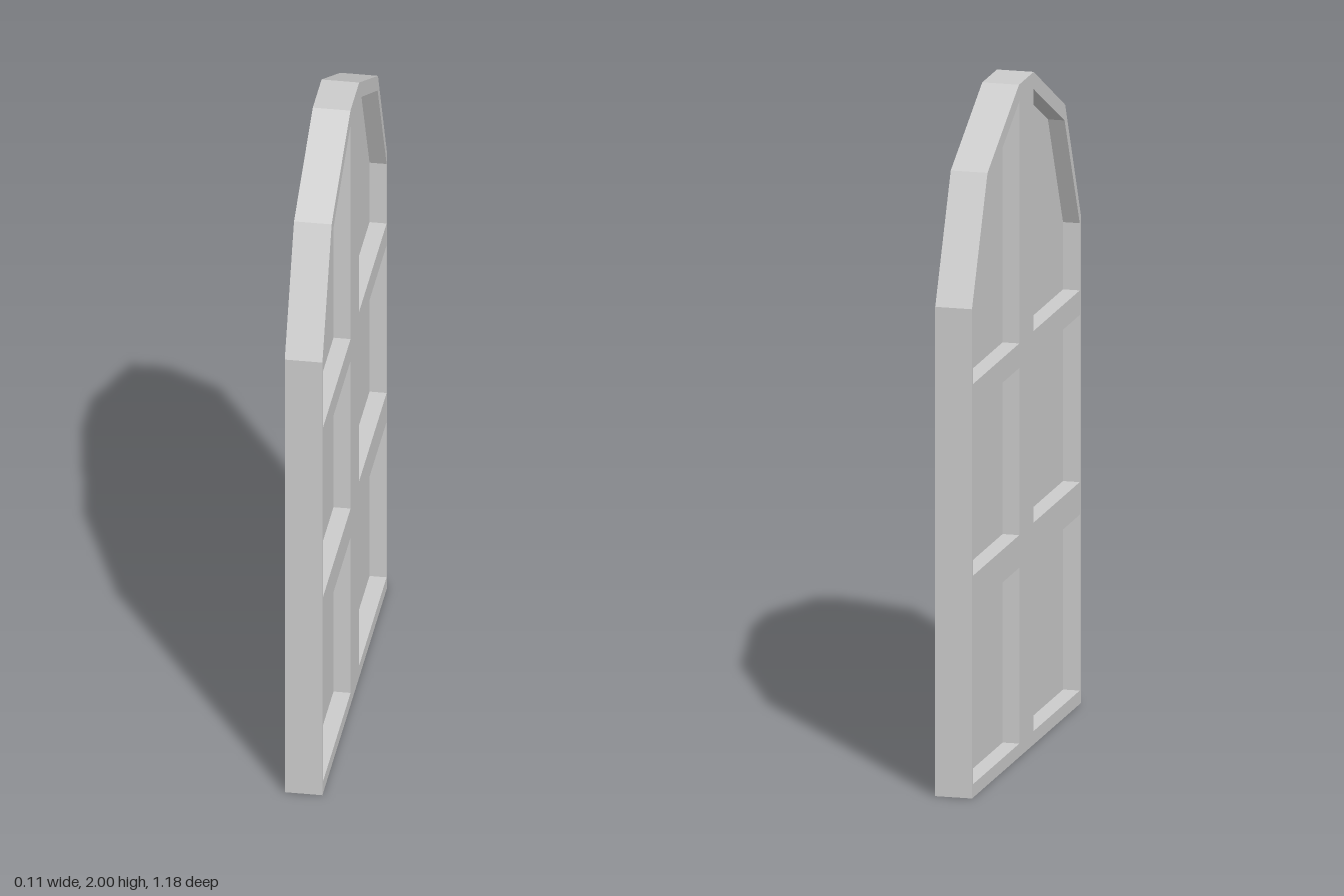
import * as THREE from 'three';

const THICKNESS = 0.11;
const PANE = 0.01;

// Extrudes a shape, centres its depth and turns it to face along x
function slab(name, shape, depth, material) {
  const geometry = new THREE.ExtrudeGeometry(shape, { depth, bevelEnabled: false });
  geometry.translate(0, 0, -depth / 2);
  geometry.rotateY(Math.PI / 2);
  const mesh = new THREE.Mesh(geometry, material);
  mesh.name = name;
  return mesh;
}

const toPoints = (list, side = 1) => list.map(([u, v]) => new THREE.Vector2(u * side, v));

export function createModel() {
  const group = new THREE.Group();
  group.name = 'archedWindow';
  const material = new THREE.MeshStandardMaterial({ color: 0xcccccc, flatShading: true });

  // Faceted arch outline: one half, then its mirror
  const half = [[0.592, 0], [0.592, 1.455], [0.423, 1.82], [0.08, 2]];
  const mirrored = half.map(([u, v]) => [-u, v]).reverse();
  const frame = new THREE.Shape(toPoints([...half, ...mirrored]));

  // Openings on one side of the central mullion, bottom to top
  const inner = 0.077, outer = 0.581;
  const openings = {
    lower: [[inner, 0.04], [outer, 0.04], [outer, 0.563], [inner, 0.563]],
    middle: [[inner, 0.66], [outer, 0.66], [outer, 1.157], [inner, 1.157]],
    upper: [[inner, 1.23], [outer, 1.23], [outer, 1.43], [0.416, 1.775], [inner, 1.95]],
  };

  // Cut each opening and set a thin pane at mid-depth
  for (const side of [1, -1]) {
    for (const [level, corners] of Object.entries(openings)) {
      const points = toPoints(corners, side);
      frame.holes.push(new THREE.Path(points));
      const name = `${level}${side > 0 ? 'Back' : 'Front'}Pane`;
      group.add(slab(name, new THREE.Shape(points), PANE, material));
    }
  }
  group.add(slab('frame', frame, THICKNESS, material));
  return group;
}
